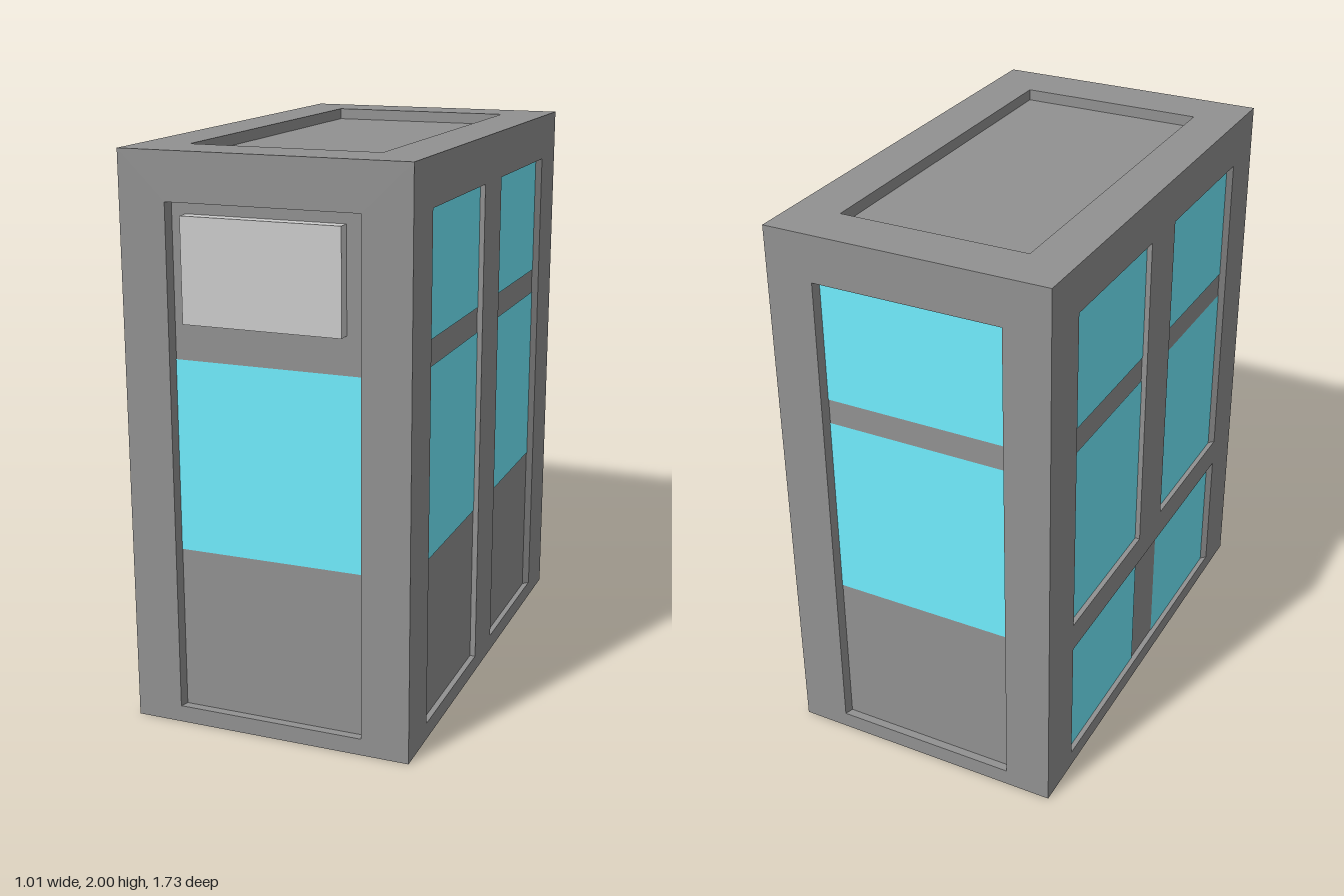
import * as THREE from 'three';

const bodyMat = new THREE.MeshStandardMaterial({ color: 0x919191 });
const glassMat = new THREE.MeshStandardMaterial({ color: 0x71eeff });
const signMat = new THREE.MeshStandardMaterial({ color: 0xcccccc });

// Rectangles are [u0, v0, u1, v1] in the plane of a wall.
const corners = ([a, b, c, d]) => [[a, b], [c, b], [c, d], [a, d]];

function addMesh(group, name, geometry, material) {
  const mesh = new THREE.Mesh(geometry, material);
  mesh.name = name;
  group.add(mesh);
  return mesh;
}

function addRect(group, name, [a, b, c, d], z, material) {
  addMesh(group, name, new THREE.PlaneGeometry(c - a, d - b), material)
    .position.set((a + c) / 2, (b + d) / 2, z);
}

// Four splayed walls joining the opening to the recessed panel
function revealGeometry(outer, inner, depth) {
  const o = corners(outer).map(([x, y]) => [x, y, 0]);
  const n = corners(inner).map(([x, y]) => [x, y, -depth]);
  const pos = [];
  for (let i = 0; i < 4; i++) {
    const j = (i + 1) % 4;
    pos.push(...o[i], ...o[j], ...n[j], ...o[i], ...n[j], ...n[i]);
  }
  const g = new THREE.BufferGeometry();
  g.setAttribute('position', new THREE.Float32BufferAttribute(pos, 3));
  g.computeVertexNormals();
  return g;
}

// A flat wall with recessed panels, each holding flush glass panes
function makeWall(name, rect, depth, recesses) {
  const group = new THREE.Group();
  group.name = name;
  const toPoints = r => corners(r).map(([x, y]) => new THREE.Vector2(x, y));
  const shape = new THREE.Shape(toPoints(rect));
  for (const { outer, inner = outer, panes = [] } of recesses) {
    shape.holes.push(new THREE.Path(toPoints(outer)));
    addMesh(group, 'reveal', revealGeometry(outer, inner, depth), bodyMat);
    addRect(group, 'recessedPanel', inner, -depth, bodyMat);
    for (const p of panes) addRect(group, 'glassPane', p, -depth + 0.002, glassMat);
  }
  addMesh(group, 'frame', new THREE.ShapeGeometry(shape), bodyMat);
  return group;
}

export function createModel() {
  const model = new THREE.Group();
  model.name = 'booth';
  const X = 0.505, H = 2, F = 0.85, B = -0.865;
  const low = 0.06, top = 1.835, sill = 0.64;

  // A window recess with a lower and an upper pane
  const windowRecess = (u0, u1, i0, i1, base) => ({
    outer: [u0, base, u1, top],
    inner: [i0, base, i1, top],
    panes: [[i0, sill, i1, 1.31], [i0, 1.4, i1, top]],
  });

  // Front wall: one pane below the sign
  const front = makeWall('frontWall', [-X, 0, X, H], 0.03, [{
    outer: [-0.34, low, 0.335, top],
    inner: [-0.33, low, 0.325, top],
    panes: [[-0.33, sill, 0.325, 1.31]],
  }]);
  front.position.z = F;

  // Back wall: one tall recess
  const back = makeWall('backWall', [-X, 0, X, H], 0.03,
    [windowRecess(-0.335, 0.34, -0.325, 0.33, low)]);
  back.rotation.y = Math.PI;
  back.position.z = B;

  // Side wall with two tall recesses
  const sideA = makeWall('doorSideWall', [-F, 0, -B, H], 0.02, [
    windowRecess(-0.665, -0.095, -0.645, -0.095, low),
    windowRecess(0.105, 0.675, 0.105, 0.65, low),
  ]);
  sideA.rotation.y = Math.PI / 2;
  sideA.position.x = X;

  // Opposite side wall: two windows above a wide low recess
  const sideB = makeWall('windowSideWall', [B, 0, F, H], 0.02, [
    windowRecess(-0.675, -0.105, -0.65, -0.105, sill),
    windowRecess(0.095, 0.665, 0.095, 0.645, sill),
    {
      outer: [-0.675, low, 0.665, 0.535],
      inner: [-0.65, low, 0.645, 0.535],
      panes: [[-0.65, low, -0.09, 0.535], [0.1, low, 0.645, 0.535]],
    },
  ]);
  sideB.rotation.y = -Math.PI / 2;
  sideB.position.x = -X;

  // Roof with a sunken panel, and a plain floor
  const roof = makeWall('roof', [-X, -F, X, -B], 0.04,
    [{ outer: [-0.34, -0.66, 0.335, 0.68] }]);
  roof.rotation.x = -Math.PI / 2;
  roof.position.y = H;
  const floor = makeWall('floor', [-X, B, X, F], 0, []);
  floor.rotation.x = Math.PI / 2;

  model.add(front, back, sideA, sideB, roof, floor);

  // Blank sign standing out from the front recess
  addMesh(model, 'signPlate', new THREE.BoxGeometry(0.555, 0.355, 0.045), signMat)
    .position.set(-0.002, 1.618, 0.8425);
  return model;
}
